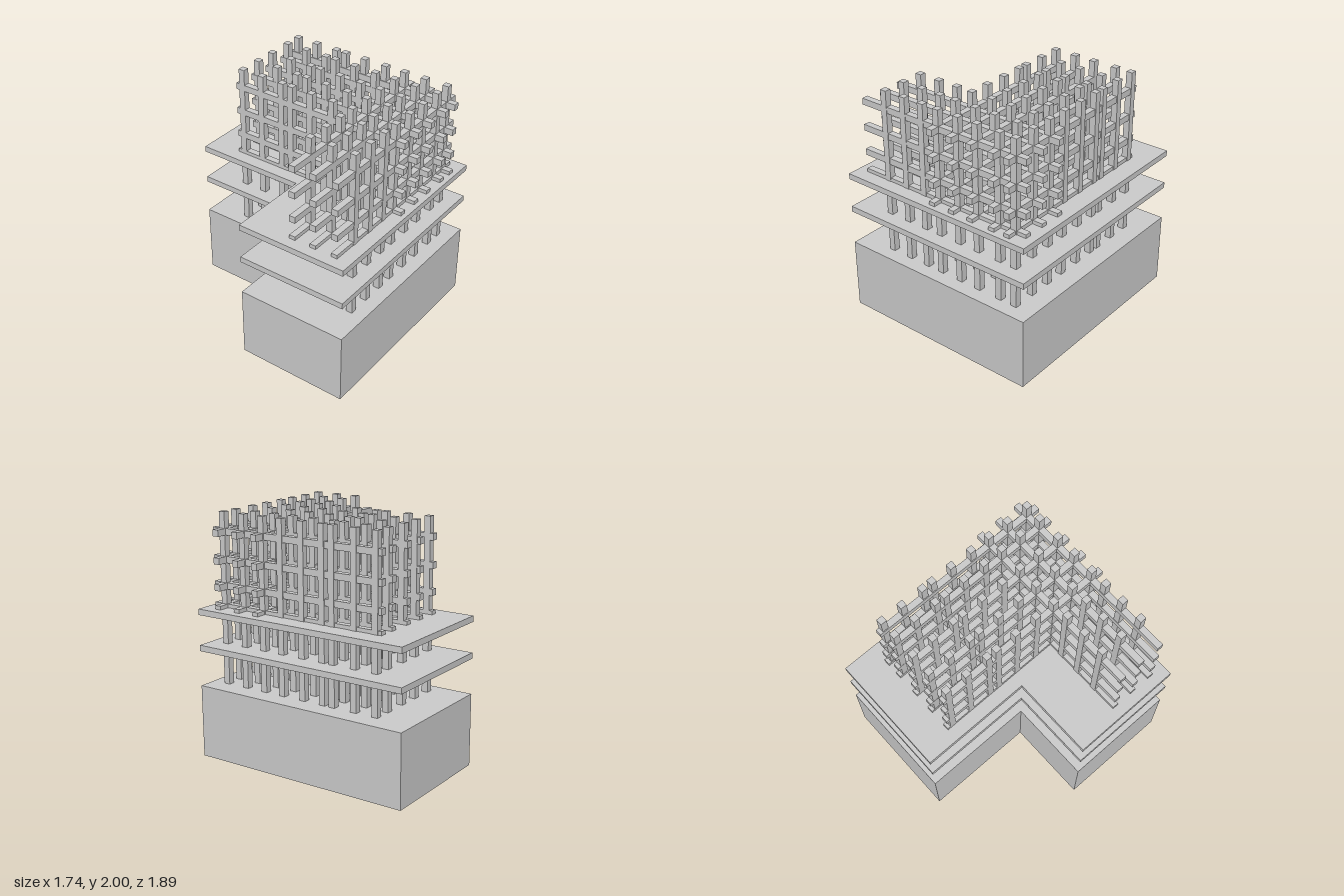
import * as THREE from 'three';

const material = new THREE.MeshStandardMaterial({ color: 0xcccccc, flatShading: true });
const sheetMaterial = new THREE.MeshStandardMaterial({ color: 0xcccccc, flatShading: true, side: THREE.DoubleSide });

// L-shaped floor outline as [x, z]
const OUTLINE = [[-0.87, 0.945], [0.87, 0.945], [0.87, -0.945], [-0.165, -0.945], [-0.165, 0], [-0.87, 0]];
const BAR = 0.053;
const BASE_TOP = 0.6;

// Column grid: the front wing uses every x, the back wing only the inner ones
const WING_X = [-0.55, -0.36, -0.18];
const MAIN_X = [-0.03, 0.16, 0.34, 0.545, 0.69];
const FRONT_Z = [0.807, 0.612, 0.424];
const BACK_Z = [0.247, 0.05, -0.138, -0.228, -0.426, -0.615];
const BEAM_Y = [1.239, 1.411, 1.622, 1.843];

function outlineShape() {
  return new THREE.Shape(OUTLINE.map(([x, z]) => new THREE.Vector2(x, -z)));
}

function addMesh(parent, name, geometry, mat = material) {
  const mesh = new THREE.Mesh(geometry, mat);
  mesh.name = name;
  parent.add(mesh);
  return mesh;
}

function addBox(parent, name, size, position) {
  addMesh(parent, name, new THREE.BoxGeometry(...size)).position.set(...position);
}

function addGroup(parent, name) {
  const group = new THREE.Group();
  group.name = name;
  parent.add(group);
  return group;
}

export function createModel() {
  const model = new THREE.Group();
  model.name = 'latticeBuilding';

  // Hollow base, open underneath: a top sheet and one wall per outline edge
  const base = addGroup(model, 'base');
  const top = new THREE.ShapeGeometry(outlineShape());
  top.rotateX(-Math.PI / 2);
  addMesh(base, 'baseTop', top, sheetMaterial).position.y = BASE_TOP;
  OUTLINE.forEach(([x0, z0], i) => {
    const [x1, z1] = OUTLINE[(i + 1) % OUTLINE.length];
    const wall = addMesh(base, 'baseWall',
      new THREE.PlaneGeometry(Math.hypot(x1 - x0, z1 - z0), BASE_TOP), sheetMaterial);
    wall.position.set((x0 + x1) / 2, BASE_TOP / 2, (z0 + z1) / 2);
    wall.rotation.y = Math.atan2(z0 - z1, x1 - x0);
  });

  // Floor slabs
  const slabs = addGroup(model, 'floorSlabs');
  for (const y of [0.889, 1.186]) {
    const slab = new THREE.ExtrudeGeometry(outlineShape(), { depth: 0.049, bevelEnabled: false });
    slab.rotateX(-Math.PI / 2);
    addMesh(slabs, 'floorSlab', slab).position.y = y;
  }

  // Columns, running through both slabs
  const columns = addGroup(model, 'columns');
  const bottom = BASE_TOP - 0.002;
  const addColumn = (x, z) =>
    addBox(columns, 'column', [BAR, 2 - bottom, BAR], [x, (2 + bottom) / 2, z]);
  for (const z of FRONT_Z) for (const x of [...WING_X, ...MAIN_X]) addColumn(x, z);
  for (const z of BACK_Z) for (const x of MAIN_X) addColumn(x, z);

  // Horizontal beams in both directions
  const beams = addGroup(model, 'beams');
  for (const y of BEAM_Y) {
    for (const z of [0.803, 0.614, 0.428]) addBox(beams, 'crossBeam', [1.58, BAR, BAR], [0.01, y, z]);
    for (const x of [-0.03, 0.158, 0.34, 0.543, 0.683]) addBox(beams, 'longBeam', [BAR, BAR, 1.577], [x, y, 0.118]);
  }

  return model;
}
